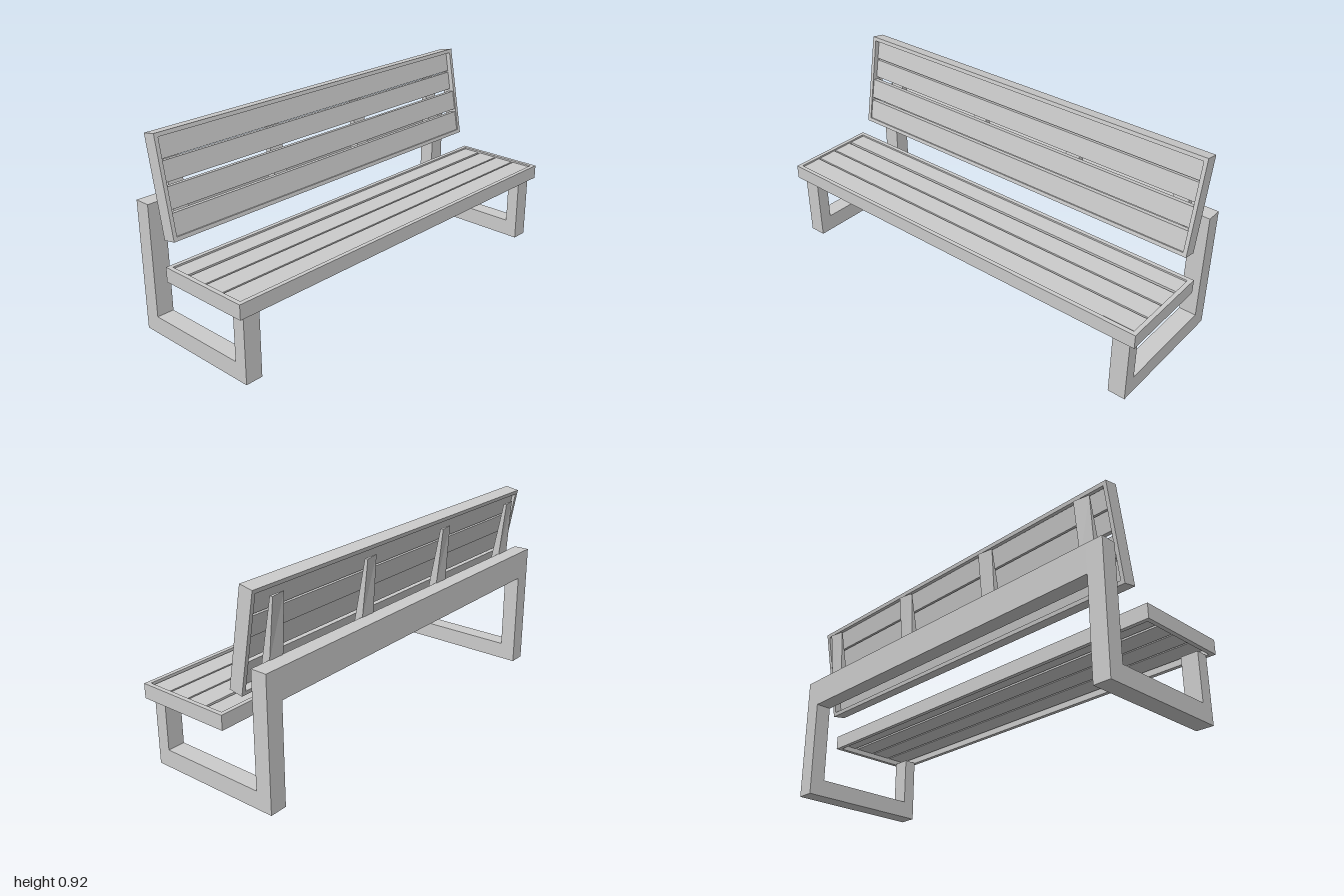
import * as THREE from 'three';

const material = new THREE.MeshStandardMaterial({ color: 0xcccccc, side: THREE.DoubleSide });

function addMesh(parent, name, geometry, x = 0, y = 0, z = 0) {
  const mesh = new THREE.Mesh(geometry, material);
  mesh.name = name;
  mesh.position.set(x, y, z);
  parent.add(mesh);
  return mesh;
}

// Extrudes a side outline of [z, y] points along x, centred on x = 0.
function sideExtrude(points, width) {
  const shape = new THREE.Shape(points.map(([z, y]) => new THREE.Vector2(z, y)));
  return new THREE.ExtrudeGeometry(shape, { depth: width, bevelEnabled: false })
    .rotateY(-Math.PI / 2)
    .translate(width / 2, 0, 0);
}

function rectangle(PathType, w, h) {
  return new PathType([[-1, -1], [1, -1], [1, 1], [-1, 1]]
    .map(([x, y]) => new THREE.Vector2(x * w / 2, y * h / 2)));
}

// Thin rectangular rim filled with long slats; faces +z before it is turned.
function slattedPanel(name, w, h, depth, rim, slats) {
  const panel = new THREE.Group();
  panel.name = name;
  const outline = rectangle(THREE.Shape, w, h);
  outline.holes.push(rectangle(THREE.Path, w - 2 * rim, h - 2 * rim));
  const rimGeometry = new THREE.ExtrudeGeometry(outline, { depth, bevelEnabled: false });
  addMesh(panel, name + 'Rim', rimGeometry.translate(0, 0, -depth / 2));
  for (const { y, height, z, thickness } of slats) {
    addMesh(panel, name + 'Slat', new THREE.BoxGeometry(w - 2 * rim, height, thickness), 0, y, z);
  }
  return panel;
}

export function createModel() {
  const bench = new THREE.Group();
  bench.name = 'bench';

  // Side frames: short front leg, floor bar and tall rear post
  const frameOutline = [
    [0.312, 0], [0.312, 0.312], [0.252, 0.312], [0.252, 0.082],
    [-0.258, 0.082], [-0.258, 0.602], [-0.334, 0.602], [-0.334, 0],
  ];
  for (const side of [-1, 1]) {
    addMesh(bench, side > 0 ? 'leftFrame' : 'rightFrame', sideExtrude(frameOutline, 0.082), side * 0.927);
  }

  // Beam joining the rear posts
  addMesh(bench, 'rearBeam', new THREE.BoxGeometry(1.774, 0.137, 0.076), 0, 0.5335, -0.296);

  // Seat
  const seatSlats = [-0.0625, 0.0475, 0.1525, 0.2575]
    .map((z) => ({ y: 0.1075 - z, height: 0.097, z: 0.008, thickness: 0.035 }));
  const seat = slattedPanel('seat', 2, 0.454, 0.067, 0.02, seatSlats);
  seat.rotation.x = -Math.PI / 2;
  seat.position.set(0, 0.345, 0.1075);
  bench.add(seat);

  // Tilted backrest, its lower slats set further forward
  const backSlats = [
    { y: -0.158, height: 0.098, z: 0.014 },
    { y: -0.046, height: 0.096, z: 0.014 },
    { y: 0.06, height: 0.09, z: -0.004 },
    { y: 0.159, height: 0.092, z: -0.004 },
  ].map((slat) => ({ ...slat, thickness: 0.026 }));
  const backrest = slattedPanel('backrest', 1.9, 0.452, 0.066, 0.018, backSlats);
  backrest.rotation.x = -0.178;
  backrest.position.set(0, 0.687, -0.1925);
  bench.add(backrest);

  // Wedge brackets behind the backrest, one edge tapering to a point
  const bracketOutline = [[-0.21, 0.526], [-0.262, 0.526], [-0.262, 0.6], [-0.29, 0.864], [-0.275, 0.864]];
  const bracket = sideExtrude(bracketOutline, 0.075);
  const p = bracket.attributes.position;
  for (let i = 0; i < p.count; i++) {
    if (p.getX(i) < 0 && p.getY(i) > 0.8 && p.getZ(i) < -0.28) p.setZ(i, -0.277);
  }
  bracket.computeVertexNormals();
  for (const x of [-0.835, -0.275, 0.275, 0.835]) {
    addMesh(bench, 'backBracket', bracket, x);
  }

  return bench;
}
